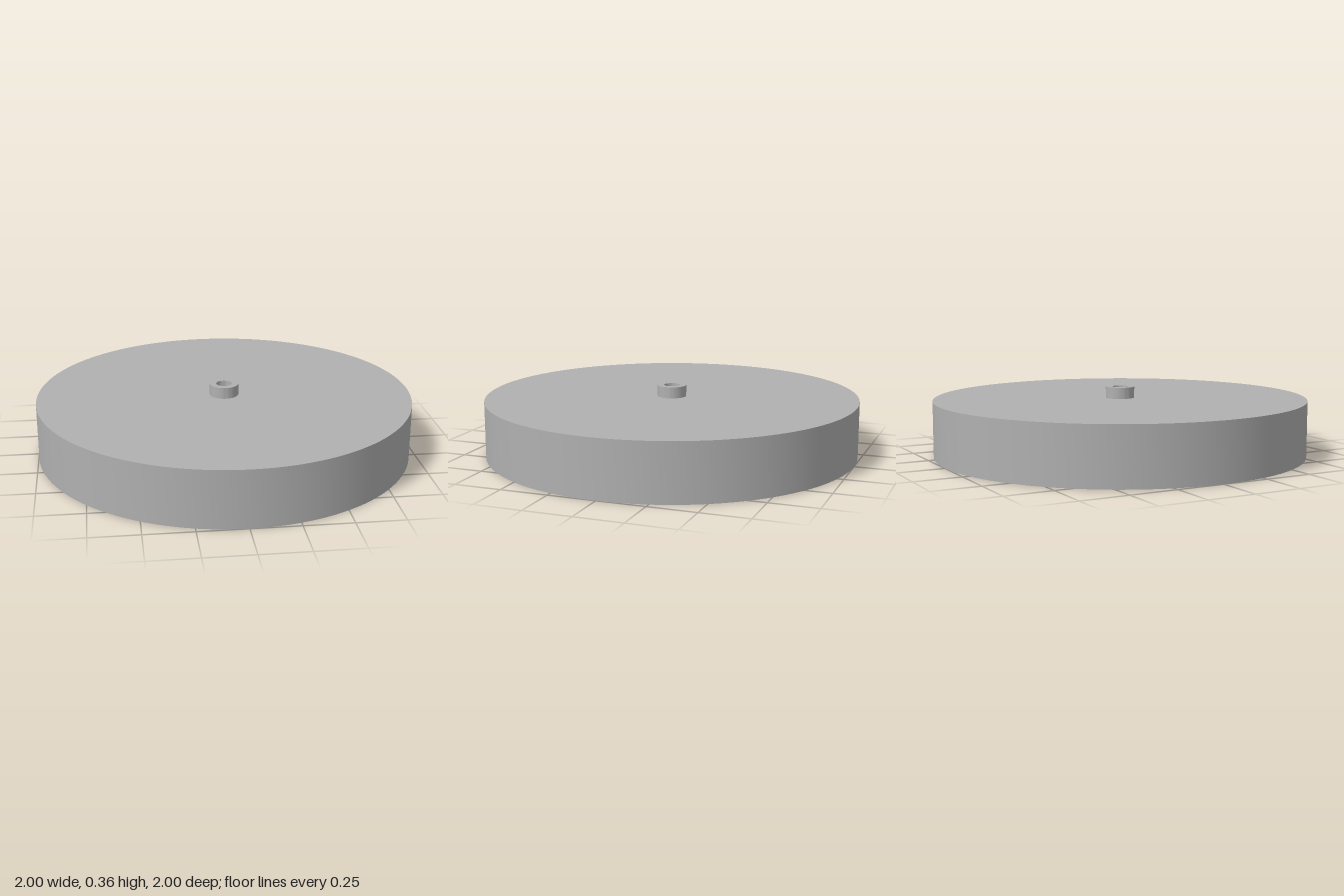
import * as THREE from 'three';
import { toCreasedNormals } from 'three/addons/utils/BufferGeometryUtils.js';

const RIBS = 9, STEP = (Math.PI * 2) / RIBS;
const FLOOR = 0.25;   // height of the pocket ceiling
const FILLET = 0.03;

// Outline of the hollow underside: ribs point inwards from the rim.
// "inset" thickens ribs and rim evenly, for the fillet against the plate.
function pocketOutline(inset) {
  const u = 0.02 + inset, R = 0.96 - inset, f = 0.035;
  const v = u + f, cx = Math.sqrt((R - f) ** 2 - v * v);
  const end = Math.atan2(v, cx);
  const corner = [];
  for (let i = 0; i <= 6; i++) {
    const a = -Math.PI / 2 + ((end + Math.PI / 2) * i) / 6;
    corner.push([cx + f * Math.cos(a), v + f * Math.sin(a)]);
  }
  const side = [[0.32 - inset, u], ...corner];
  const rib = [...side.map(([x, y]) => [x, -y]).reverse(), ...side];
  for (let i = 1; i < 12; i++) {
    const a = end + ((STEP - 2 * end) * i) / 12;
    rib.push([R * Math.cos(a), R * Math.sin(a)]);
  }
  const points = [];
  for (let k = 0; k < RIBS; k++) {
    const c = Math.cos(k * STEP), s = Math.sin(k * STEP);
    for (const [x, y] of rib) points.push(new THREE.Vector2(x * c - y * s, x * s + y * c));
  }
  return points;
}

// Pocket walls, lofted from the bottom edge up through the fillet
function pocketWalls() {
  const levels = [[0, 0]];
  for (let i = 0; i <= 5; i++) {
    const a = (i / 5) * Math.PI / 2;
    levels.push([FLOOR - FILLET + FILLET * Math.sin(a), FILLET * (1 - Math.cos(a))]);
  }
  const pos = [], index = [];
  let n = 0;
  for (const [y, inset] of levels) {
    const outline = pocketOutline(inset);
    n = outline.length;
    for (const p of outline) pos.push(p.x, y, p.y);
  }
  for (let j = 0; j < levels.length - 1; j++) {
    for (let i = 0; i < n; i++) {
      const a = j * n + i, b = j * n + ((i + 1) % n), c = a + n, d = b + n;
      index.push(a, b, c, b, d, c);
    }
  }
  const g = new THREE.BufferGeometry();
  g.setAttribute('position', new THREE.Float32BufferAttribute(pos, 3));
  g.setIndex(index);
  return toCreasedNormals(g, 0.7);
}

function turned(profile, segments) {
  const pts = profile.map(([r, y]) => new THREE.Vector2(r, y));
  return toCreasedNormals(new THREE.LatheGeometry(pts, segments), 0.7);
}

export function createModel() {
  const group = new THREE.Group();
  const grey = new THREE.MeshStandardMaterial({ color: 0xb0b0b0 });
  grey.name = 'plain grey';
  const add = (name, geometry) => {
    const mesh = new THREE.Mesh(geometry, grey);
    mesh.name = name;
    group.add(mesh);
  };

  // Outer wall and top plate
  add('rimAndTopPlate', turned([[1, 0], [1, 0.3], [0.077, 0.3]], 128));
  // Underside of the plate
  add('plateUnderside', turned([[0.13, FLOOR], [0.95, FLOOR]], 96));
  // Raised boss, stepped bore and lower hub
  add('hub', turned([
    [0.077, 0.3], [0.077, 0.36], [0.042, 0.36], [0.042, FLOOR],
    [0.075, FLOOR], [0.075, 0], [0.13, 0], [0.13, FLOOR],
  ], 64));

  // Ribs and inside of the rim
  add('ribWalls', pocketWalls());
  // Flat lower edge of rim and ribs
  const edge = new THREE.Shape().absarc(0, 0, 1, 0, Math.PI * 2);
  edge.holes.push(new THREE.Path(pocketOutline(0)));
  const edgeGeometry = new THREE.ShapeGeometry(edge, 64);
  edgeGeometry.rotateX(Math.PI / 2);
  add('rimAndRibEdge', edgeGeometry);

  return group;
}
